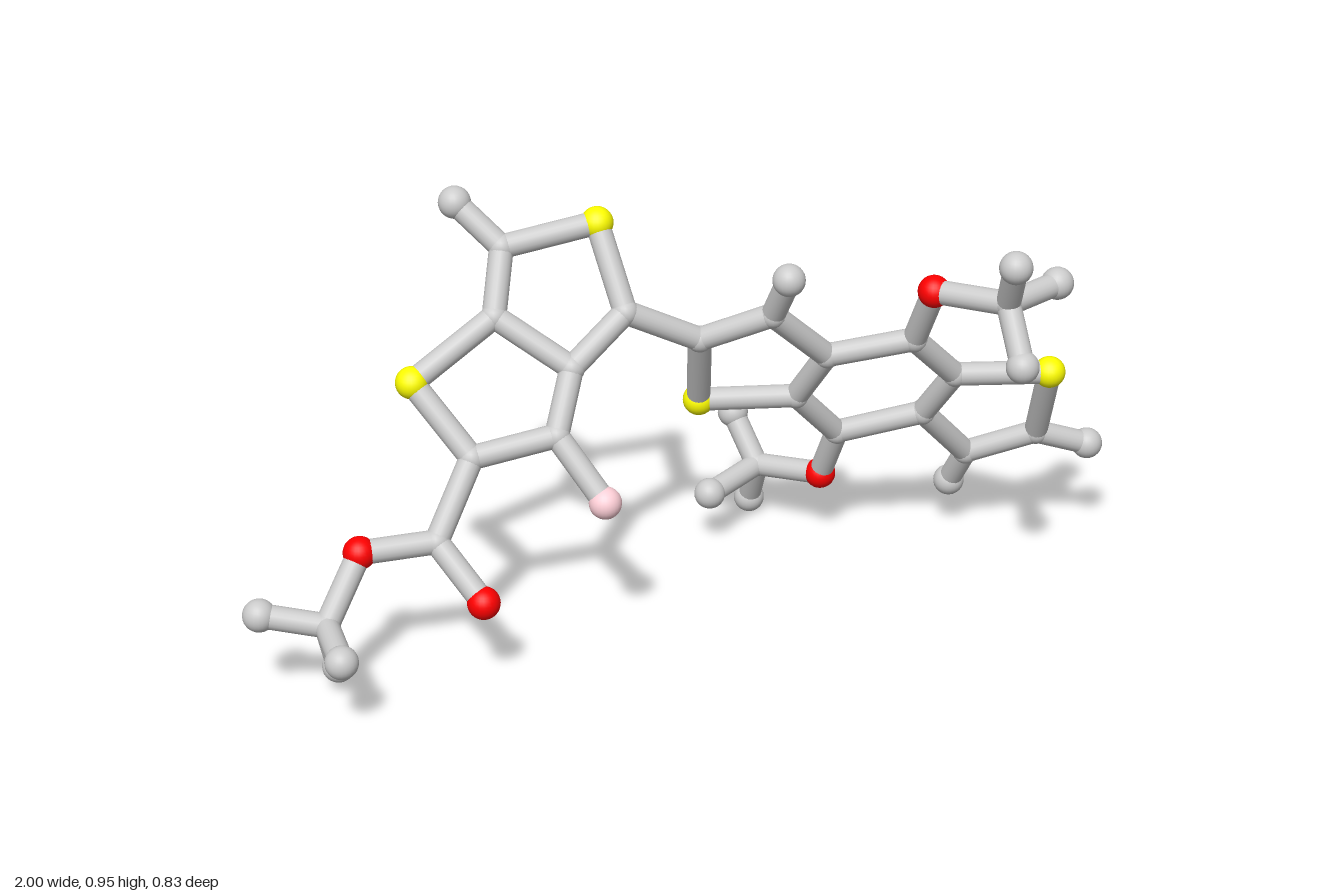
import * as THREE from 'three';

const STICK = 0.026, JOINT = 0.029, BALL = 0.035;
const COLORS = { carbon: 0xcccccc, sulfur: 0xffff00, oxygen: 0xff0000, fluorine: 0xffd0d8 };

// The two fused ring systems are flat; depth follows from x and y.
const leftPlane = (x, y) => 0.206 * x - 0.628 * y + 0.426;
const rightPlane = (x, y) => 0.295 * x + 0.588 * y - 0.414;

// Ring atoms: [x, y]
const leftRings = {
  S1: [-0.58, 0.60], S2: [-0.145, 0.87], F1: [-0.23, 0.365],
  c1: [-0.35, 0.835], c2: [-0.12, 0.705], c3: [-0.25, 0.61], c4: [-0.39, 0.71],
  c5: [-0.485, 0.46], c6: [-0.305, 0.49], c7: [-0.585, 0.315], end1: [-0.43, 0.92],
};
const rightRings = {
  S3: [0.08, 0.425], S4: [0.805, 0.49],
  d1: [0.045, 0.62], d2: [0.18, 0.69], d3: [0.32, 0.56], d4: [0.285, 0.43],
  d5: [0.49, 0.605], d6: [0.605, 0.49], d7: [0.57, 0.365], d8: [0.40, 0.305],
  d9: [0.70, 0.225], d10: [0.835, 0.29],
  end2: [0.19, 0.795], end3: [0.96, 0.245], end4: [0.69, 0.125],
};
// Side branches out of the ring planes: [x, y, z]
const branches = {
  O1: [-0.515, 0.21, 0.208], O2: [-0.745, 0.31, 0.092],
  e0: [-0.835, 0.187, 0.153],
  end5: [-0.965, 0.213, 0.11], end6: [-0.807, 0.065, 0.115], end7: [-0.838, 0.18, 0.296],
  O3: [0.495, 0.75, 0.168], f0: [0.605, 0.76, 0.298],
  end8: [0.585, 0.87, 0.366], end9: [0.74, 0.767, 0.25], end10: [0.605, 0.65, 0.38],
  O4: [0.39, 0.17, -0.185], g0: [0.28, 0.155, -0.302],
  end11: [0.25, 0.257, -0.381], end12: [0.14, 0.137, -0.232], end13: [0.285, 0.04, -0.363],
};
// Each chain joins its atoms one after another.
const chains = [
  'end1 c1 S2 c2 c3 c4 c1', 'c4 S1 c5 c6 c3', 'c6 F1', 'c5 c7 O1', 'c7 O2 e0 end5', 'end6 e0 end7',
  'c2 d1 d2 d3 d4 S3 d1', 'd2 end2', 'd3 d5 d6 d7 d8 d4', 'd6 S4 d10 d9 d7', 'd10 end3', 'd9 end4',
  'd5 O3 f0 end8', 'end9 f0 end10', 'd8 O4 g0 end11', 'end12 g0 end13',
];

function elementOf(id) {
  return { S: 'sulfur', O: 'oxygen', F: 'fluorine' }[id[0]] ?? 'carbon';
}

export function createModel() {
  const model = new THREE.Group();
  model.name = 'molecule';
  const materials = {};
  for (const key in COLORS) materials[key] = new THREE.MeshStandardMaterial({ color: COLORS[key] });

  const points = {};
  for (const [id, [x, y]] of Object.entries(leftRings)) points[id] = new THREE.Vector3(x, y, leftPlane(x, y));
  for (const [id, [x, y]] of Object.entries(rightRings)) points[id] = new THREE.Vector3(x, y, rightPlane(x, y));
  for (const [id, p] of Object.entries(branches)) points[id] = new THREE.Vector3(...p);

  // Atoms: large balls for coloured and end atoms, flush joints elsewhere
  const ball = new THREE.SphereGeometry(BALL, 24, 16);
  const joint = new THREE.SphereGeometry(JOINT, 20, 14);
  const atoms = new THREE.Group();
  atoms.name = 'atoms';
  for (const id in points) {
    const element = elementOf(id);
    const large = element !== 'carbon' || id.startsWith('end');
    const mesh = new THREE.Mesh(large ? ball : joint, materials[element]);
    mesh.name = large ? `${element}Ball` : 'carbonJoint';
    mesh.position.copy(points[id]);
    atoms.add(mesh);
  }

  // Bonds: one stick between each pair of neighbours
  const stick = new THREE.CylinderGeometry(STICK, STICK, 1, 20, 1, true);
  const up = new THREE.Vector3(0, 1, 0);
  const bonds = new THREE.Group();
  bonds.name = 'bonds';
  for (const chain of chains) {
    const ids = chain.split(' ');
    for (let i = 1; i < ids.length; i++) {
      const a = points[ids[i - 1]], b = points[ids[i]];
      const direction = b.clone().sub(a);
      const mesh = new THREE.Mesh(stick, materials.carbon);
      mesh.name = 'bond';
      mesh.position.copy(a).lerp(b, 0.5);
      mesh.scale.y = direction.length();
      mesh.quaternion.setFromUnitVectors(up, direction.normalize());
      bonds.add(mesh);
    }
  }

  model.add(atoms, bonds);
  return model;
}
